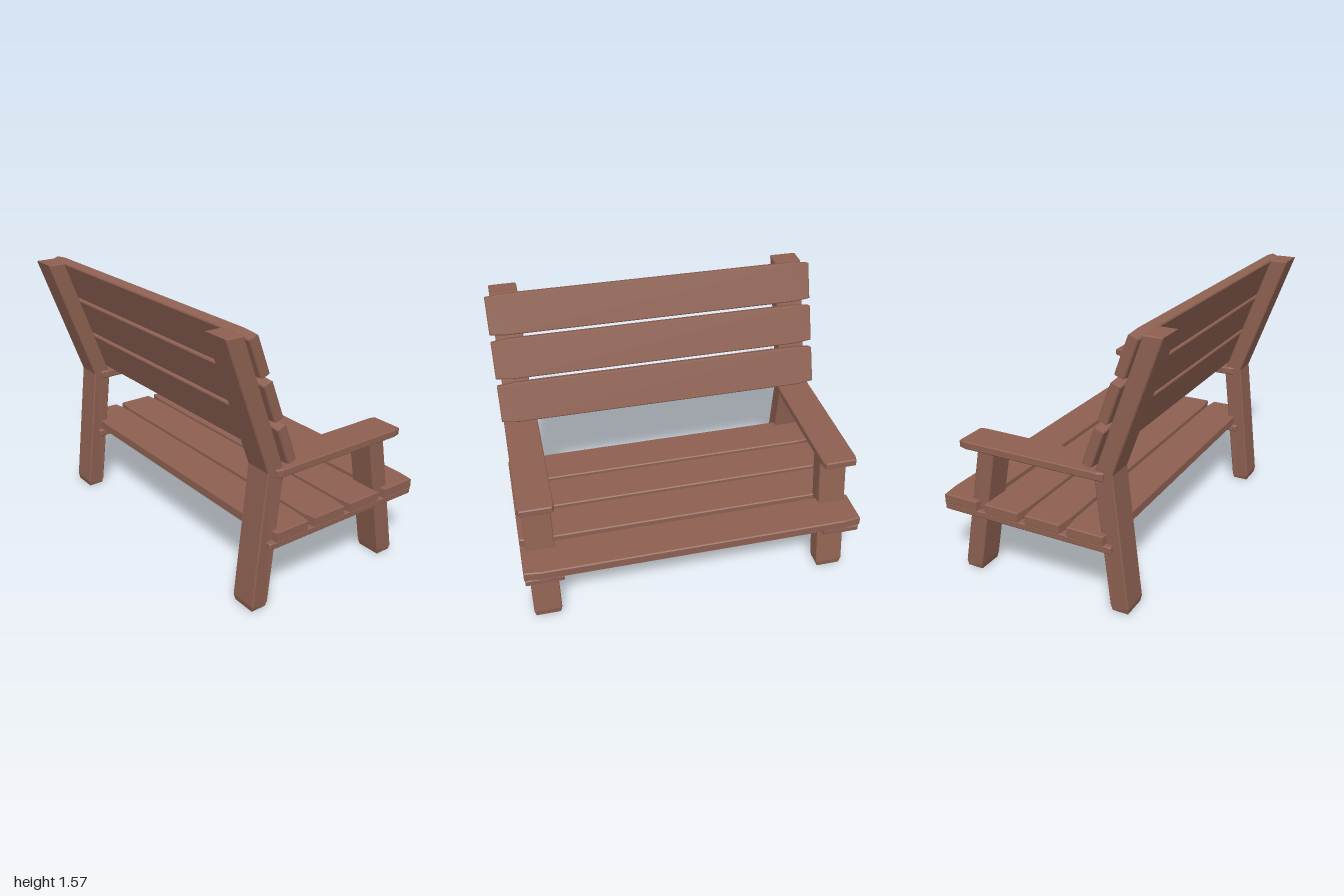
import * as THREE from 'three';

const BEVEL = 0.006;

// Extrude a closed outline, centred on its depth, with a small one-step bevel inside the outline
function extrude(points, depth) {
  const shape = new THREE.Shape(points.map(([x, y]) => new THREE.Vector2(x, y)));
  const geo = new THREE.ExtrudeGeometry(shape, {
    depth: depth - 2 * BEVEL, bevelEnabled: true, bevelSegments: 1,
    bevelSize: BEVEL, bevelThickness: BEVEL, bevelOffset: -BEVEL,
  });
  return geo.translate(0, 0, -depth / 2 + BEVEL);
}

// Board along x, width along y, thickness along z, with tapered corners
function plank(length, width, thick, cutX, cutY) {
  const l = length / 2, w = width / 2;
  return extrude([
    [-l, -w + cutY], [-l + cutX, -w], [l - cutX, -w], [l, -w + cutY],
    [l, w - cutY], [l - cutX, w], [-l + cutX, w], [-l, w - cutY],
  ], thick);
}

// Post cut from a side outline of [z, y] points; its foot narrows slightly
function post(outline) {
  const geo = extrude(outline.map(([z, y]) => [-z, y]), 0.166).rotateY(Math.PI / 2);
  const pos = geo.attributes.position;
  for (let i = 0; i < pos.count; i++) {
    if (pos.getY(i) < 0.015) pos.setX(i, pos.getX(i) * 0.92);
  }
  geo.computeVertexNormals();
  return geo;
}

export function createModel() {
  const bench = new THREE.Group();
  bench.name = 'gardenBench';
  const wood = new THREE.MeshStandardMaterial({ color: 0x8d6051 });
  wood.name = 'reddish brown wood';
  wood.flatShading = true;

  const add = (name, geo, x, y, z) => {
    const mesh = new THREE.Mesh(geo, wood);
    mesh.name = name;
    mesh.position.set(x, y, z);
    bench.add(mesh);
    return mesh;
  };

  // Seat slats
  const seatGeo = plank(2, 0.242, 0.06, 0.1, 0.012).rotateX(-Math.PI / 2);
  [0.25, -0.014, -0.278, -0.551].forEach((z, i) => add(`seatSlat${i + 1}`, seatGeo, 0, 0.43, z));

  // Leaning backrest slats
  const backGeo = plank(2, 0.244, 0.058, 0.1, 0.012).rotateX(0.348);
  [[0.948, 0.308], [1.2, 0.402], [1.45, 0.496]].forEach(([y, z], i) =>
    add(`backSlat${i + 1}`, backGeo, 0, y, z));

  // Bent rear posts, raked front legs, armrests and seat supports on both sides
  const rearGeo = post([
    [0.482, 0], [0.489, 0.035], [0.4, 0.8], [0.672, 1.56],
    [0.565, 1.56], [0.292, 0.785], [0.382, 0.035], [0.39, 0],
  ]);
  const frontGeo = post([
    [-0.468, 0], [-0.458, 0.035], [-0.325, 0.772],
    [-0.431, 0.772], [-0.567, 0.035], [-0.563, 0],
  ]);
  const armGeo = plank(0.895, 0.205, 0.047, 0.038, 0.01).rotateX(-Math.PI / 2).rotateY(Math.PI / 2);
  const supportGeo = plank(1.065, 0.22, 0.042, 0.008, 0.004).rotateX(-Math.PI / 2).rotateY(Math.PI / 2);
  for (const [side, s] of [['left', 1], ['right', -1]]) {
    add(`${side}RearPost`, rearGeo, s * 0.885, 0, 0);
    add(`${side}FrontLeg`, frontGeo, s * 0.885, 0, 0);
    add(`${side}Armrest`, armGeo, s * 0.887, 0.787, -0.0925);
    add(`${side}SeatSupport`, supportGeo, s * 0.885, 0.382, -0.1325);
  }
  return bench;
}
